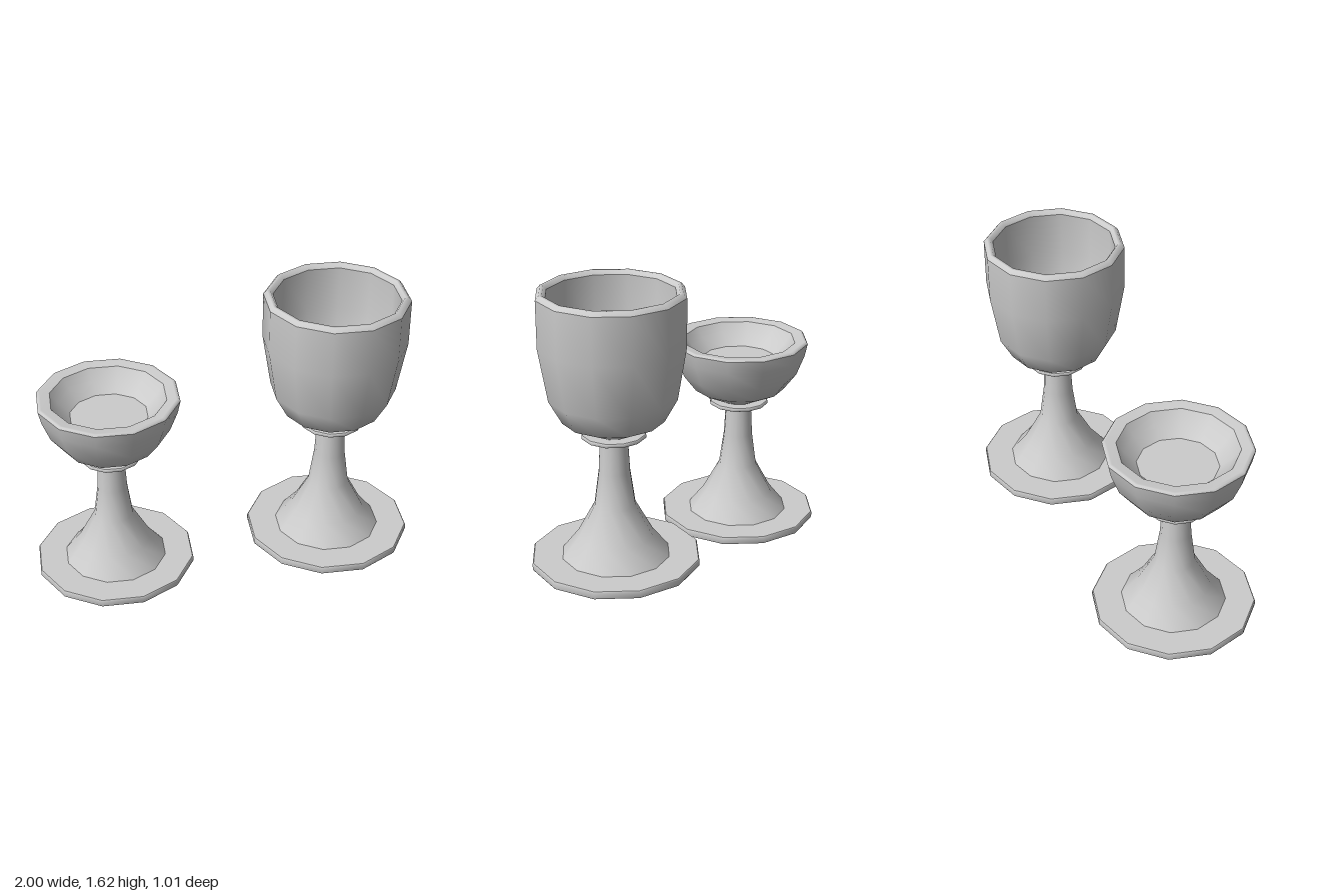
import * as THREE from 'three';

const material = new THREE.MeshStandardMaterial({ color: 0xcccccc, side: THREE.DoubleSide });

// A twelve-sided turned part; each profile is smooth, with sharp edges between profiles.
function turned(name, ...profiles) {
  const part = new THREE.Group();
  part.name = name;
  for (const profile of profiles) {
    const points = profile.map(([r, y]) => new THREE.Vector2(r, y));
    const mesh = new THREE.Mesh(new THREE.LatheGeometry(points, 12), material);
    mesh.name = name + 'Surface';
    part.add(mesh);
  }
  return part;
}

// Foot, stem and collar shared by both vessels, standing on y = 0
function makeStand() {
  const stand = new THREE.Group();
  stand.name = 'stand';
  stand.add(
    turned('foot',
      [[0, 0], [0.425, 0]],
      [[0.425, 0], [0.43, 0.008], [0.43, 0.034], [0.425, 0.04]],
      [[0.425, 0.04], [0.275, 0.04]]),
    turned('stem',
      [[0.275, 0.04], [0.193, 0.145], [0.105, 0.31], [0.08, 0.49], [0.07, 0.68]]),
    turned('collar',
      [[0.06, 0.675], [0.158, 0.675]],
      [[0.158, 0.675], [0.163, 0.679], [0.163, 0.691], [0.158, 0.695]],
      [[0.158, 0.695], [0.06, 0.695]]),
  );
  return stand;
}

export function createModel() {
  const model = new THREE.Group();
  model.name = 'vesselPair';

  // Low dish with a flat plate inside
  const dish = new THREE.Group();
  dish.name = 'dishVessel';
  dish.add(
    makeStand(),
    turned('dishBowl',
      [[0.09, 0.69], [0.25, 0.77], [0.318, 0.86], [0.36, 0.97], [0.375, 1.04]],
      [[0.375, 1.04], [0.368, 1.05], [0.355, 1.05], [0.305, 1.042]],
      [[0.305, 1.042], [0.265, 0.985], [0.205, 0.93]]),
    turned('dishPlate', [[0.205, 0.93], [0, 0.93]]),
  );
  dish.position.set(-0.57, 0, 0.077);

  // Tall cup with a deep hollow
  const cup = new THREE.Group();
  cup.name = 'cupVessel';
  cup.add(
    makeStand(),
    turned('cupBowl',
      [[0.09, 0.69], [0.255, 0.77], [0.32, 0.89], [0.365, 1.16], [0.365, 1.4]],
      [[0.365, 1.4], [0.348, 1.42], [0.332, 1.42], [0.317, 1.4]],
      [[0.317, 1.4], [0.317, 1.17], [0.28, 0.92], [0.22, 0.81], [0.1, 0.75], [0, 0.74]]),
  );
  cup.position.set(0.57, 0.2, -0.077);

  model.add(dish, cup);
  return model;
}
